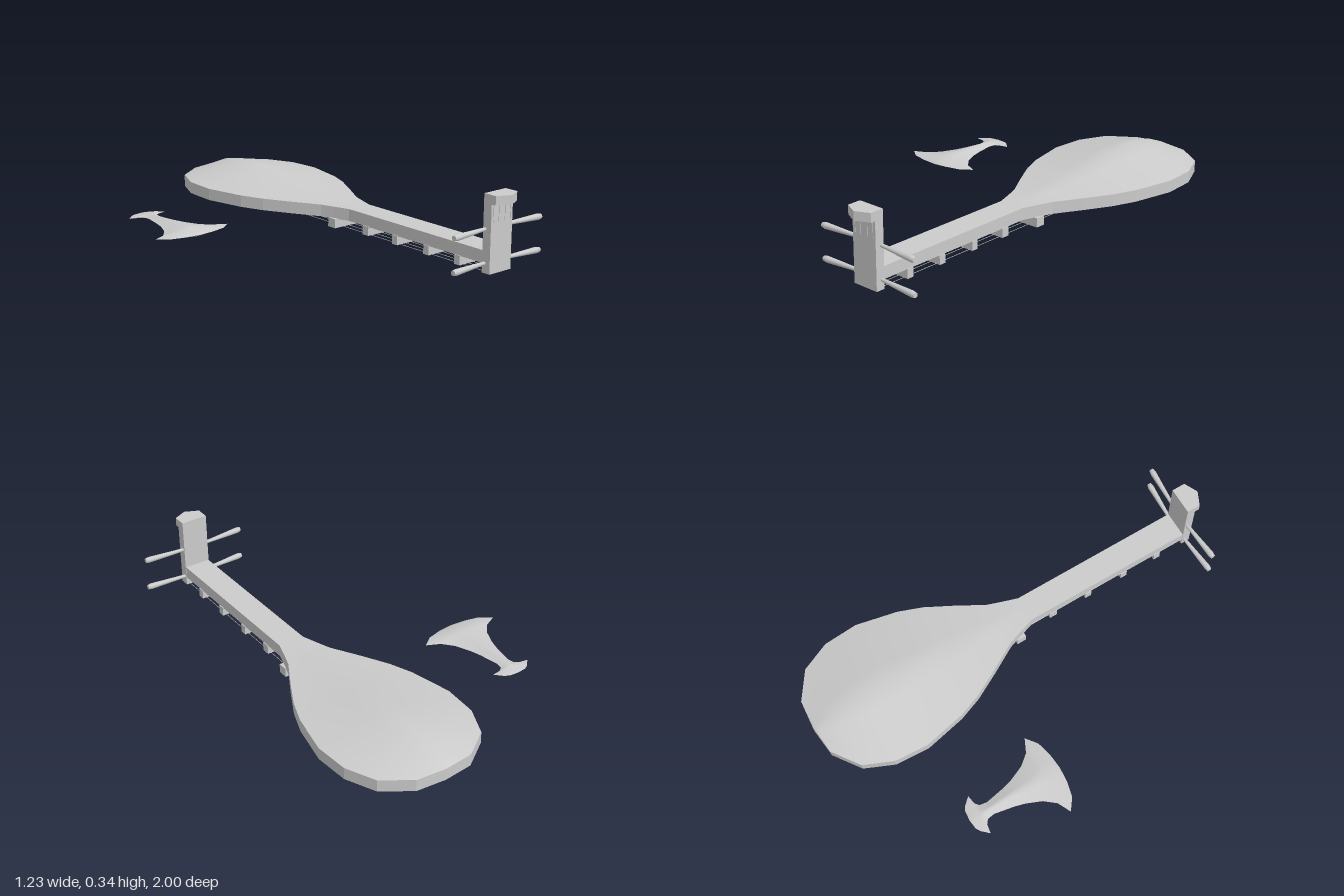
import * as THREE from 'three';

const mat = new THREE.MeshStandardMaterial({ color: 0xcccccc });
const thin = new THREE.MeshStandardMaterial({ color: 0xcccccc, side: THREE.DoubleSide });
const CX = 0.285; // centre line of the lute

function add(parent, name, geometry, material = mat) {
  const mesh = new THREE.Mesh(geometry, material);
  mesh.name = name;
  parent.add(mesh);
  return mesh;
}

function box(parent, name, x0, x1, y0, y1, z0, z1) {
  const m = add(parent, name, new THREE.BoxGeometry(x1 - x0, y1 - y0, z1 - z0));
  m.position.set((x0 + x1) / 2, (y0 + y1) / 2, (z0 + z1) / 2);
  return m;
}

// Round bar between two points
function rod(parent, name, a, b, ra, rb, sides) {
  const dir = b.clone().sub(a);
  const m = add(parent, name, new THREE.CylinderGeometry(rb, ra, dir.length(), sides));
  m.position.copy(a).add(b).multiplyScalar(0.5);
  m.quaternion.setFromUnitVectors(new THREE.Vector3(0, 1, 0), dir.normalize());
  return m;
}

// Prism from [x, z] corners in plan
function planPrism(points, y, height) {
  const shape = new THREE.Shape(points.map(([x, z]) => new THREE.Vector2(x, -z)));
  const g = new THREE.ExtrudeGeometry(shape, { depth: height, bevelEnabled: false });
  return g.rotateX(-Math.PI / 2).translate(0, y, 0);
}

// Ridged shell from rows of [z, half width, rise]; sign -1 makes it hang down
function shell(rows, cx, y, sign) {
  const pos = [], index = [], cols = 9;
  rows.forEach(([z, hw, rise], r) => {
    for (let c = 0; c < cols; c++) {
      const t = (2 * c) / (cols - 1) - 1;
      pos.push(cx + t * hw, y + sign * rise * (1 - Math.abs(t)), z);
      if (r === 0 || c === 0) continue;
      const d = r * cols + c, a = d - cols - 1, b = a + 1, e = d - 1;
      if (sign > 0) index.push(a, b, e, b, d, e);
      else index.push(a, e, b, b, e, d);
    }
  });
  const g = new THREE.BufferGeometry();
  g.setAttribute('position', new THREE.Float32BufferAttribute(pos, 3));
  g.setIndex(index);
  g.computeVertexNormals();
  return g;
}

export function createModel() {
  const model = new THREE.Group();
  const lute = new THREE.Group();
  lute.name = 'lute';
  lute.position.x = CX;
  model.add(lute);

  // Pear-shaped body: [z, half width, rise of the back]
  const body = [
    [0.09, 0.061, 0], [0.01, 0.087, 0.002], [-0.05, 0.108, 0.006], [-0.18, 0.182, 0.016],
    [-0.30, 0.246, 0.027], [-0.41, 0.288, 0.039], [-0.605, 0.33, 0.064], [-0.765, 0.32, 0.069],
    [-0.90, 0.26, 0.046], [-0.987, 0.135, 0.012], [-1.0, 0, 0],
  ];
  const rightSide = body.map(([z, w]) => [w, z]);
  const leftSide = body.slice(0, -1).reverse().map(([z, w]) => [-w, z]);
  const outline = [[0.061, 0.91], ...rightSide, ...leftSide, [-0.061, 0.91]];
  add(lute, 'bodyAndNeck', planPrism(outline, 0.05, 0.055));
  add(lute, 'domedBack', shell(body, 0, 0.105, 1), thin);

  // Peg head with pointed tip
  box(lute, 'pegHead', -0.063, 0.063, 0.01, 0.345, 0.905, 0.947);
  const tip = [[-0.063, 0.94], [0.063, 0.94], [0.063, 0.968], [0, 0.998], [-0.063, 0.968]];
  add(lute, 'headTip', planPrism(tip, 0.305, 0.04));
  for (const x of [-0.05, -0.018, 0.018, 0.05]) {
    box(lute, 'headString', x - 0.001, x + 0.001, 0.23, 0.305, 0.946, 0.949);
  }

  // Tuning pegs
  for (const y of [0.052, 0.197]) for (const s of [-1, 1]) {
    rod(lute, 'tuningPeg', new THREE.Vector3(s * 0.05, y, 0.916),
      new THREE.Vector3(s * 0.24, y, 0.929), 0.007, 0.014, 12);
    rod(lute, 'pegEnd', new THREE.Vector3(s * 0.24, y, 0.929),
      new THREE.Vector3(s * 0.257, y, 0.93), 0.014, 0.011, 12);
  }

  // Frets under the neck, the last one wider
  for (const [z0, z1, w] of [[0.75, 0.782, 0.065], [0.568, 0.6, 0.065], [0.375, 0.407, 0.065],
    [0.184, 0.222, 0.065], [-0.01, 0.036, 0.098]]) {
    box(lute, 'fret', -w, w, 0.01, 0.052, z0, z1);
  }

  // Bridge with string studs
  box(lute, 'bridge', -0.092, 0.092, 0, 0.052, -0.866, -0.835);
  box(lute, 'bridgePlate', -0.085, 0.085, 0.03, 0.052, -0.948, -0.86);
  for (let i = 0; i < 4; i++) {
    const u = i - 1.5;
    box(lute, 'stringStud', u * 0.036 - 0.007, u * 0.036 + 0.007, 0.015, 0.032, -0.91, -0.885);
    rod(lute, 'string', new THREE.Vector3(u * 0.03, 0.012, 0.91),
      new THREE.Vector3(u * 0.036, 0.012, -0.89), 0.0012, 0.0012, 5);
  }

  // Plectrum: [z, half width, half thickness]
  const pick = [
    [-0.157, 0, 0], [-0.163, 0.07, 0.005], [-0.18, 0.142, 0.012], [-0.22, 0.195, 0.022],
    [-0.25, 0.133, 0.024], [-0.30, 0.092, 0.022], [-0.37, 0.062, 0.019], [-0.42, 0.048, 0.018],
    [-0.51, 0.031, 0.014], [-0.545, 0.036, 0.012], [-0.56, 0.055, 0.011], [-0.567, 0.097, 0.01],
    [-0.60, 0.066, 0.006], [-0.612, 0.045, 0.003], [-0.617, 0, 0],
  ];
  const plectrum = new THREE.Group();
  plectrum.name = 'plectrum';
  model.add(plectrum);
  add(plectrum, 'plectrumTop', shell(pick, -0.42, 0.051, 1), thin);
  add(plectrum, 'plectrumUnderside', shell(pick, -0.42, 0.051, -1), thin);
  return model;
}
